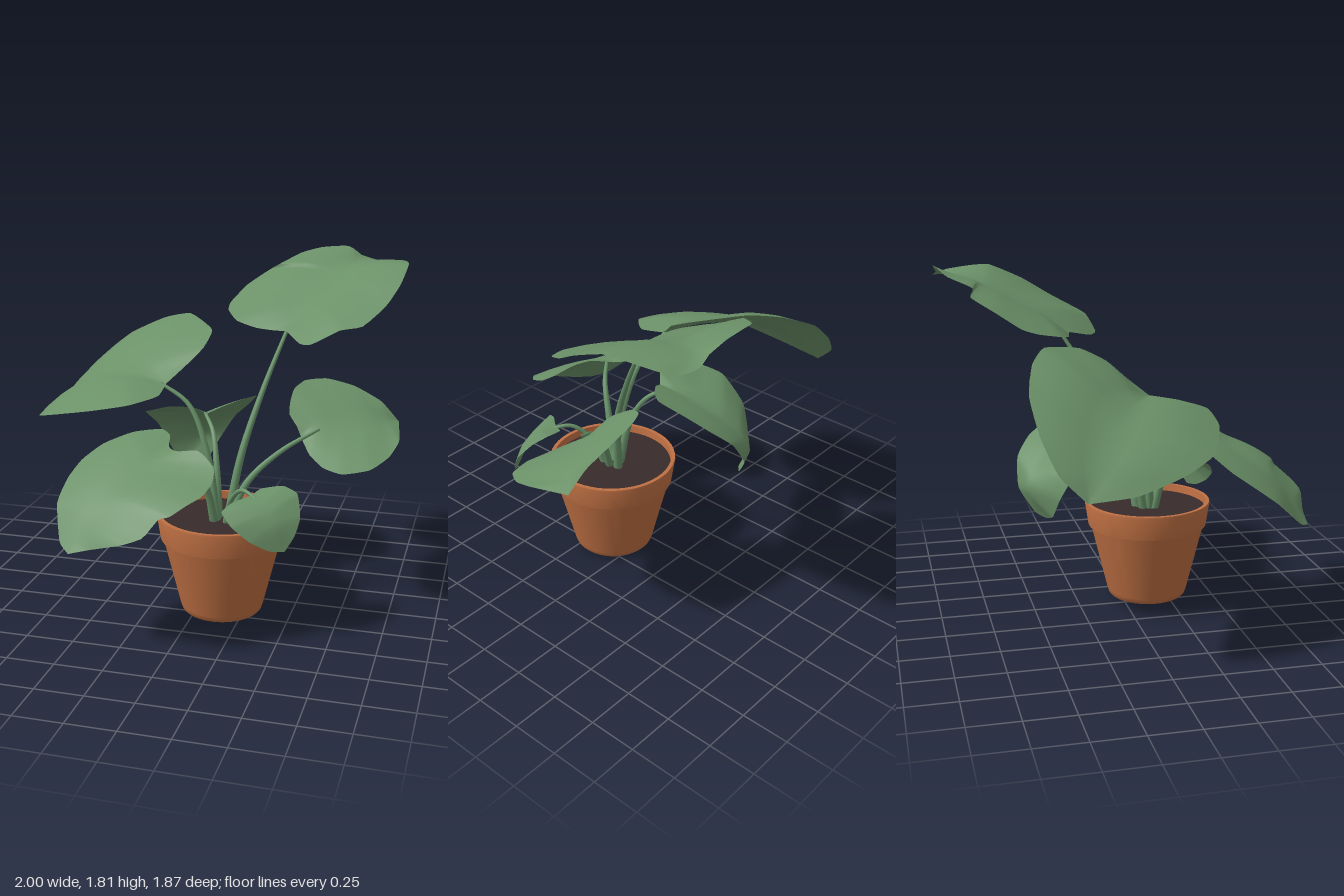
import * as THREE from 'three';
import { toCreasedNormals } from 'three/addons/utils/BufferGeometryUtils.js';

const leafGreen = new THREE.MeshStandardMaterial({ name: 'leaf green', color: 0x6b9168, side: THREE.DoubleSide });
const stemGreen = new THREE.MeshStandardMaterial({ name: 'stem green', color: 0x69936a });
const terracotta = new THREE.MeshStandardMaterial({ name: 'terracotta', color: 0xbf7043 });
const soilBrown = new THREE.MeshStandardMaterial({ name: 'soil brown', color: 0x392b2c });

const v3 = (p) => new THREE.Vector3(...p);
const smoothCurve = (points) => new THREE.CatmullRomCurve3(points.map(v3));
const tautCurve = (points) => new THREE.CatmullRomCurve3(points.map(v3), false, 'catmullrom', 0.25);

function addMesh(parent, name, geometry, material) {
  const mesh = new THREE.Mesh(geometry, material);
  mesh.name = name;
  parent.add(mesh);
  return mesh;
}

// Blade lofted from one edge over the midrib to the other edge;
// both edges start at the notch and finish at the tip, each half arches by bow.
function bladeGeometry(rib, edgeA, edgeB, bow) {
  const base = rib[0], tip = rib[rib.length - 1];
  const mid = smoothCurve(rib);
  const sides = [edgeA, edgeB].map((e) => tautCurve([base, ...e, tip]));
  const rows = 36, strips = 4, cols = strips * 2 + 1;
  const position = [], index = [];
  for (let i = 0; i <= rows; i++) {
    const t = i / rows, m = mid.getPoint(t);
    for (let j = -strips; j <= strips; j++) {
      const s = Math.abs(j) / strips;
      const e = sides[j < 0 ? 0 : 1].getPoint(t);
      const lift = bow * Math.sin(Math.PI * t) * s * (1 - s) * m.distanceTo(e);
      const p = m.clone().lerp(e, s);
      position.push(p.x, p.y + lift, p.z);
    }
  }
  for (let i = 0; i < rows; i++) {
    for (let j = 0; j < cols - 1; j++) {
      const a = i * cols + j, b = a + cols;
      index.push(a, a + 1, b, b, a + 1, b + 1);
    }
  }
  const g = new THREE.BufferGeometry();
  g.setAttribute('position', new THREE.Float32BufferAttribute(position, 3));
  g.setIndex(index);
  g.computeVertexNormals();
  return g;
}

// Round stalk that narrows towards the blade.
function stemGeometry(points, r0, r1) {
  const path = smoothCurve(points), segments = 20, sides = 8;
  const g = new THREE.TubeGeometry(path, segments, 1, sides);
  const pos = g.attributes.position, p = new THREE.Vector3();
  for (let i = 0; i < pos.count; i++) {
    const t = Math.floor(i / (sides + 1)) / segments;
    const c = path.getPointAt(t);
    p.fromBufferAttribute(pos, i).sub(c).multiplyScalar(r0 + (r1 - r0) * t).add(c);
    pos.setXYZ(i, p.x, p.y, p.z);
  }
  return g;
}

function addLeaf(parent, name, { stem, rib, edgeA, edgeB, radius = 0.025, bow = 0.1 }) {
  const leaf = new THREE.Group();
  leaf.name = name;
  addMesh(leaf, name + 'Stem', stemGeometry(stem, radius, 0.009), stemGreen);
  addMesh(leaf, name + 'Blade', bladeGeometry(rib, edgeA, edgeB, bow), leafGreen);
  parent.add(leaf);
}

export function createModel() {
  const model = new THREE.Group();
  model.name = 'pottedPlant';

  // Pot with a collar and a drain hole
  const pot = new THREE.Group();
  pot.name = 'pot';
  pot.position.set(0.125, 0, 0.155);
  model.add(pot);
  const profile = [
    [0.02, 0.012], [0.02, 0], [0.185, 0], [0.202, 0.005], [0.213, 0.016], [0.221, 0.04],
    [0.312, 0.412], [0.325, 0.412], [0.344, 0.535], [0.342, 0.545], [0.322, 0.545], [0.314, 0.46],
  ].map(([x, y]) => new THREE.Vector2(x, y));
  addMesh(pot, 'potShell', toCreasedNormals(new THREE.LatheGeometry(profile, 48), 0.6), terracotta);
  const soil = addMesh(pot, 'soil', new THREE.CircleGeometry(0.318, 48), soilBrown);
  soil.rotation.x = -Math.PI / 2;
  soil.position.y = 0.505;
  const hole = addMesh(pot, 'drainHole', new THREE.CircleGeometry(0.021, 16), soilBrown);
  hole.rotation.x = Math.PI / 2;
  hole.position.y = 0.01;

  // Big leaf on the right-hand side
  addLeaf(model, 'largeRightLeaf', {
    stem: [[0.1, 0.48, 0.165], [0.04, 0.85, 0.14], [-0.07, 1.1, 0.1], [-0.23, 1.2, 0.075]],
    rib: [[-0.2, 1.2, 0.08], [-0.42, 1.215, -0.05], [-0.65, 1.165, -0.2], [-0.87, 1.03, -0.33], [-1, 0.89, -0.4]],
    edgeA: [[-0.12, 1.28, -0.02], [-0.05, 1.36, -0.11], [-0.04, 1.43, -0.25], [-0.22, 1.47, -0.46],
      [-0.4, 1.42, -0.55], [-0.62, 1.31, -0.6], [-0.8, 1.16, -0.58], [-0.94, 1.01, -0.52]],
    edgeB: [[-0.2, 1.17, 0.23], [-0.32, 1.145, 0.355], [-0.53, 1.1, 0.355], [-0.8, 1.03, 0.25],
      [-0.93, 0.97, 0.07], [-1, 0.91, -0.17]],
    bow: 0.28,
  });

  // Tallest leaf
  addLeaf(model, 'tallLeaf', {
    stem: [[0.14, 0.48, 0.1], [0.2, 0.84, 0.045], [0.28, 1.16, -0.1], [0.38, 1.49, -0.3]],
    rib: [[0.37, 1.45, -0.225], [0.47, 1.6, -0.46], [0.58, 1.715, -0.7], [0.66, 1.765, -0.915]],
    edgeA: [[0.31, 1.445, -0.24], [0.2, 1.45, -0.26], [0.08, 1.47, -0.32], [0, 1.5, -0.45], [-0.01, 1.53, -0.54],
      [0.055, 1.61, -0.665], [0.155, 1.68, -0.78], [0.22, 1.72, -0.76], [0.32, 1.77, -0.88], [0.43, 1.8, -0.92],
      [0.58, 1.81, -0.94]],
    edgeB: [[0.47, 1.415, -0.09], [0.54, 1.425, -0.045], [0.68, 1.5, -0.07], [0.79, 1.52, -0.1], [0.885, 1.6, -0.25],
      [0.94, 1.69, -0.4], [0.96, 1.77, -0.585], [0.94, 1.77, -0.7], [0.9, 1.755, -0.84], [0.83, 1.735, -0.91],
      [0.74, 1.74, -0.93]],
    bow: 0.25,
  });

  // Medium leaf on the left-hand side
  addLeaf(model, 'leftLeaf', {
    stem: [[0.15, 0.48, 0.15], [0.25, 0.71, 0.11], [0.4, 0.86, 0.035], [0.59, 0.975, -0.065]],
    rib: [[0.47, 0.975, -0.07], [0.62, 0.985, -0.12], [0.82, 0.995, -0.24], [0.97, 0.96, -0.36]],
    edgeA: [[0.42, 1.03, -0.11], [0.41, 1.08, -0.18], [0.415, 1.13, -0.26], [0.46, 1.16, -0.34],
      [0.57, 1.165, -0.39], [0.72, 1.13, -0.4], [0.87, 1.06, -0.38]],
    edgeB: [[0.51, 0.91, -0.03], [0.565, 0.865, 0.06], [0.645, 0.825, 0.125], [0.75, 0.81, 0.16],
      [0.885, 0.83, 0.115], [0.965, 0.87, 0], [1, 0.92, -0.13]],
    radius: 0.022,
  });

  // Drooping front leaf
  addLeaf(model, 'frontLeaf', {
    stem: [[0.09, 0.48, 0.18], [0.06, 0.7, 0.235], [-0.01, 0.88, 0.33], [-0.13, 0.92, 0.43]],
    rib: [[-0.105, 0.96, 0.35], [-0.18, 0.89, 0.52], [-0.31, 0.765, 0.71], [-0.46, 0.53, 0.87]],
    edgeA: [[-0.12, 0.985, 0.28], [-0.18, 1.0, 0.235], [-0.32, 0.985, 0.28], [-0.46, 0.93, 0.34], [-0.55, 0.86, 0.42],
      [-0.59, 0.79, 0.52], [-0.6, 0.7, 0.645], [-0.53, 0.56, 0.8]],
    edgeB: [[-0.085, 0.955, 0.4], [-0.03, 0.96, 0.46], [0.085, 0.975, 0.47], [0.18, 0.92, 0.54], [0.195, 0.87, 0.62],
      [0.17, 0.83, 0.715], [0.11, 0.8, 0.78], [0.045, 0.76, 0.84], [-0.01, 0.74, 0.84], [-0.065, 0.67, 0.915],
      [-0.17, 0.63, 0.935], [-0.34, 0.57, 0.885]],
    bow: 0.15,
  });

  // Small young leaf
  addLeaf(model, 'smallLeaf', {
    stem: [[0.15, 0.48, 0.19], [0.19, 0.64, 0.24], [0.27, 0.735, 0.32], [0.36, 0.725, 0.395]],
    rib: [[0.335, 0.735, 0.375], [0.41, 0.72, 0.44], [0.48, 0.64, 0.49], [0.53, 0.5, 0.5]],
    edgeA: [[0.255, 0.72, 0.47], [0.22, 0.69, 0.54], [0.28, 0.63, 0.575], [0.37, 0.56, 0.57], [0.46, 0.51, 0.535]],
    edgeB: [[0.365, 0.75, 0.31], [0.475, 0.77, 0.295], [0.555, 0.745, 0.325], [0.587, 0.65, 0.405], [0.57, 0.57, 0.46]],
    radius: 0.018,
  });

  // Back leaf, curling under at the blunt tip
  addLeaf(model, 'backLeaf', {
    stem: [[0.1, 0.48, 0.13], [0.07, 0.78, 0.07], [0.03, 0.93, -0.01], [-0.04, 1.0, -0.11]],
    rib: [[-0.02, 1.01, -0.06], [-0.07, 0.97, -0.23], [-0.12, 0.89, -0.42], [-0.17, 0.75, -0.55], [-0.2, 0.58, -0.46]],
    edgeA: [[-0.08, 1.055, -0.01], [-0.2, 1.06, 0.02], [-0.33, 1.01, -0.05], [-0.4, 0.96, -0.18],
      [-0.38, 0.85, -0.34], [-0.34, 0.72, -0.41], [-0.28, 0.61, -0.44]],
    edgeB: [[0.055, 1.045, -0.095], [0.15, 1.075, -0.17], [0.21, 1.08, -0.25], [0.17, 1.03, -0.37],
      [0.1, 0.95, -0.5], [0.01, 0.86, -0.575], [-0.08, 0.72, -0.585], [-0.14, 0.6, -0.51]],
  });

  return model;
}
